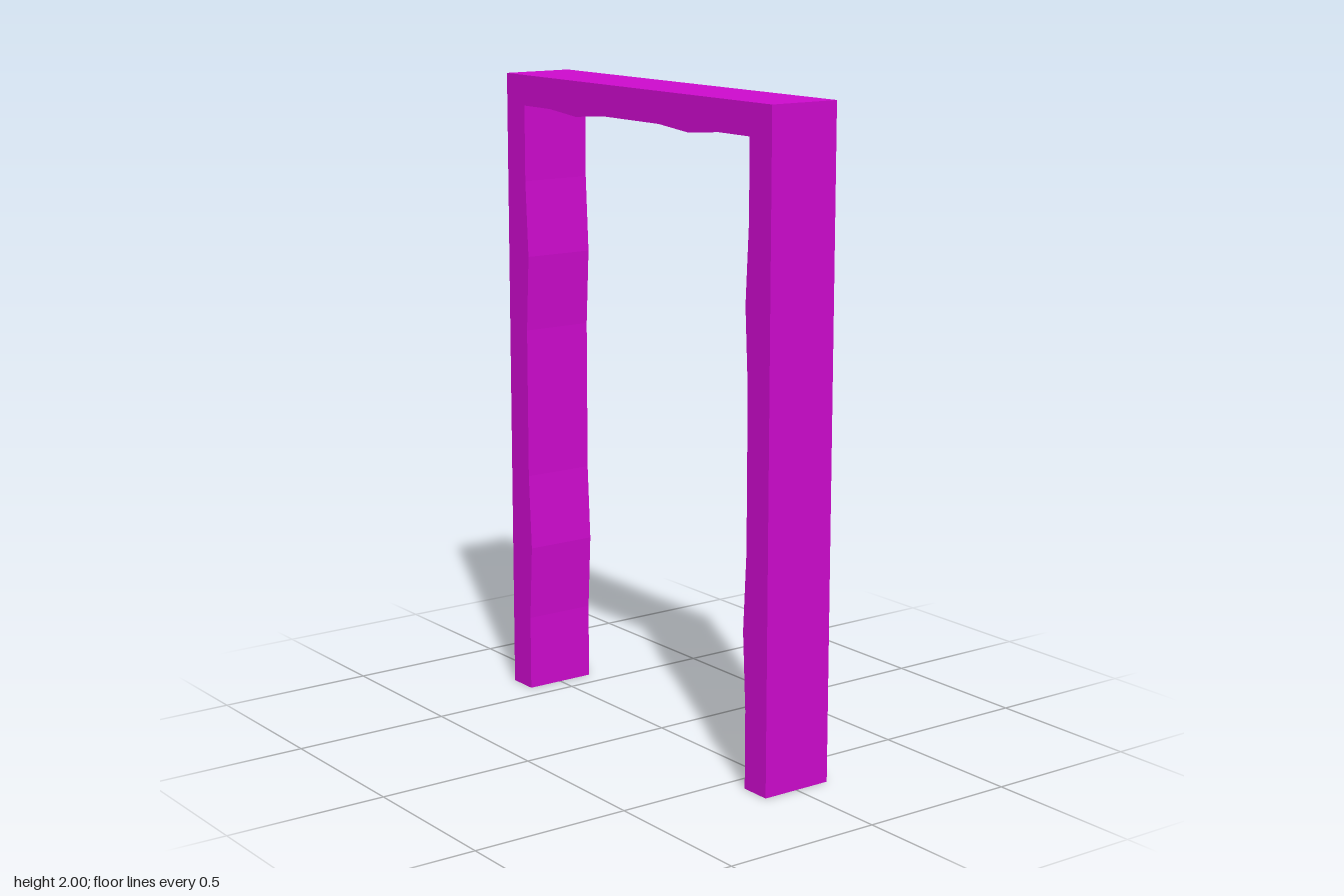
import * as THREE from 'three';

const HALF_WIDTH = 0.665, HEIGHT = 2, DEPTH = 0.23;
const INNER_X = 0.567, INNER_Y = 1.905, BULGE = 0.013;

// Points of one shallow bulge along an edge: start, peak, end
function bulge(center, halfLength) {
  return [[center - halfLength, 0], [center, BULGE], [center + halfLength, 0]];
}

export function createModel() {
  const group = new THREE.Group();
  group.name = 'doorway';

  // Inner edge of the +x post going up: two bulges into the opening
  const post = [[0, 0], ...bulge(0.477, 0.238), ...bulge(1.43, 0.238), [INNER_Y, 0]]
    .map(([y, d]) => new THREE.Vector2(INNER_X - d, y));

  // Underside of the lintel from +x to the middle: one bulge downwards
  const lintel = bulge(0.284, 0.142).reverse()
    .map(([x, d]) => new THREE.Vector2(x, INNER_Y - d));

  // Mirror the inner edge to close the other half of the frame
  const half = [...post, ...lintel];
  const mirrored = half.map((p) => new THREE.Vector2(-p.x, p.y)).reverse();
  const outline = [
    new THREE.Vector2(HALF_WIDTH, 0),
    new THREE.Vector2(HALF_WIDTH, HEIGHT),
    new THREE.Vector2(-HALF_WIDTH, HEIGHT),
    new THREE.Vector2(-HALF_WIDTH, 0),
    ...mirrored.reverse(),
    ...half.reverse(),
  ];

  // Frame: two posts and the lintel in one solid
  const geometry = new THREE.ExtrudeGeometry(new THREE.Shape(outline), {
    depth: DEPTH, bevelEnabled: false,
  });
  geometry.translate(0, 0, -DEPTH / 2);

  const material = new THREE.MeshStandardMaterial({ color: 0xcc0acc, flatShading: true });
  const frame = new THREE.Mesh(geometry, material);
  frame.name = 'doorFrame';
  group.add(frame);
  return group;
}
